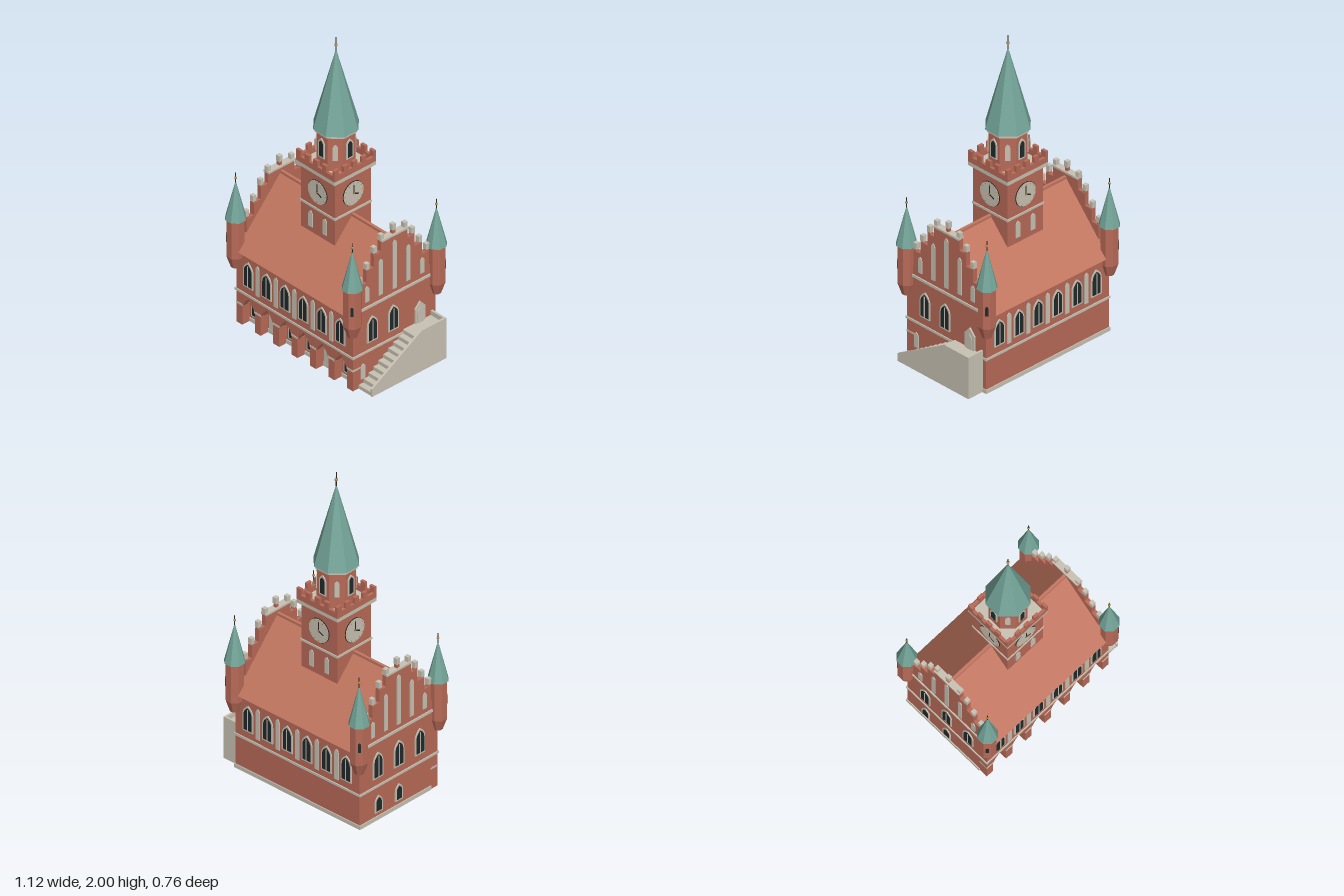
import * as THREE from 'three';

const colour = (name, hex) => {
  const m = new THREE.MeshStandardMaterial({ color: hex });
  m.name = name;
  return m;
};

export function createModel() {
  const brick = colour('brick', 0xb86a57), tile = colour('roof tile', 0xc27660);
  const stone = colour('pale stone', 0xc8c2b3), copper = colour('green copper', 0x74a599);
  const glass = colour('dark glass', 0x20292b), gold = colour('gold', 0xb08a35);
  const iron = colour('dark iron', 0x2a2624);

  const model = new THREE.Group();
  model.name = 'townHall';
  const CX = -0.03, HALF = 0.475, DEEP = 0.315; // building centre and half sizes

  const add = (parent, name, geo, mat, x = 0, y = 0, z = 0) => {
    const m = new THREE.Mesh(geo, mat);
    m.name = name;
    m.position.set(x, y, z);
    parent.add(m);
    return m;
  };
  const group = (parent, name, x = 0, y = 0, z = 0, turn = 0) => {
    const g = new THREE.Group();
    g.name = name;
    g.position.set(x, y, z);
    g.rotation.y = turn;
    parent.add(g);
    return g;
  };
  // box given by its lower and upper limits
  const block = (parent, name, mat, x0, x1, y0, y1, z0, z1) =>
    add(parent, name, new THREE.BoxGeometry(x1 - x0, y1 - y0, z1 - z0), mat,
      (x0 + x1) / 2, (y0 + y1) / 2, (z0 + z1) / 2);
  // flat-faced octagonal frustum, sized across its flats, standing on y
  const octagon = (parent, name, mat, bottom, top, y0, y1) => {
    const k = 1 / Math.cos(Math.PI / 8);
    const geo = new THREE.CylinderGeometry(top * k, bottom * k, y1 - y0, 8, 1, false, Math.PI / 8).toNonIndexed();
    geo.computeVertexNormals();
    return add(parent, name, geo, mat, 0, (y0 + y1) / 2, 0);
  };
  const extrude = (shape, depth) =>
    new THREE.ExtrudeGeometry(shape, { depth, bevelEnabled: false, curveSegments: 5 });
  // pointed arch outline, standing on y
  const arch = (w, h, x = 0, y = 0, Kind = THREE.Shape) => {
    const s = new Kind(), spring = y + h - w * 0.8, a = w / 2;
    s.moveTo(x - a, y);
    s.lineTo(x + a, y);
    s.lineTo(x + a, spring);
    s.quadraticCurveTo(x + a, spring + w * 0.45, x, y + h);
    s.quadraticCurveTo(x - a, spring + w * 0.45, x - a, spring);
    s.closePath();
    return s;
  };
  const polygon = pts => new THREE.Shape(pts.map(p => new THREE.Vector2(...p)));

  const panel = (parent, name, w, h, x, y) => add(parent, name, extrude(arch(w, h), 0.005), stone, x, y, 0);
  const archWindow = (parent, w, h, x, y, twin) => {
    const g = group(parent, 'window', x, y, 0);
    add(g, 'windowFrame', extrude(arch(w, h), 0.006), stone);
    const gw = w - 0.02, gh = h - 0.024;
    add(g, 'windowGlass', extrude(arch(gw, gh), 0.004), glass, 0, 0.01, 0.004);
    if (twin) block(g, 'mullion', stone, -0.003, 0.003, 0.01, gh, 0.004, 0.01);
  };
  const finial = (parent, y, h, r) => {
    add(parent, 'finialRod', new THREE.CylinderGeometry(r * 0.3, r * 0.4, h, 6), iron, 0, y + h / 2, 0);
    add(parent, 'finialBall', new THREE.SphereGeometry(r, 10, 8), gold, 0, y + h * 0.5, 0);
  };

  // main walls, with the ground floor set back behind the arcade
  const L = CX - HALF, R = CX + HALF;
  block(model, 'groundFloor', brick, L, R, 0.002, 0.2, -DEEP, 0.255);
  block(model, 'upperFloor', brick, L, R, 0.2, 0.5, -DEEP, DEEP);
  block(model, 'plinth', stone, L - 0.006, R + 0.006, 0, 0.025, -DEEP - 0.006, 0.261);
  block(model, 'stringCourse', stone, L - 0.006, R + 0.006, 0.214, 0.228, -DEEP - 0.006, DEEP + 0.006);

  // arcade: seven piers joined by pointed arches
  const bays = [-0.375, -0.225, -0.075, 0.075, 0.225, 0.375];
  const arcade = group(model, 'arcade', CX, 0, 0.255);
  const outline = [[-HALF, 0], [-HALF, 0.205], [HALF, 0.205], [HALF, 0]];
  for (const x of [...bays].reverse()) {
    outline.push([x + 0.051, 0], [x + 0.051, 0.125], [x + 0.03, 0.165], [x, 0.196],
      [x - 0.03, 0.165], [x - 0.051, 0.125], [x - 0.051, 0]);
  }
  add(arcade, 'arcadeWall', extrude(polygon(outline), 0.06), brick);
  for (let i = 0; i < 7; i++) {
    const x = -0.45 + i * 0.15;
    block(arcade, 'pierCap', stone, x - 0.026, x + 0.026, 0.128, 0.14, 0.004, 0.063);
  }
  bays.forEach((x, i) => {
    if (i === 1 || i === 4) panel(arcade, 'door', 0.085, 0.18, x, 0.002);
    else archWindow(arcade, 0.072, 0.12, x, 0.042);
  });

  // upper windows and blind niches, front and back
  for (const side of [1, -1]) {
    const facade = group(model, side > 0 ? 'frontFacade' : 'backFacade', CX, 0, side * DEEP, side > 0 ? 0 : Math.PI);
    for (const x of bays) archWindow(facade, 0.08, 0.17, x, 0.275, true);
    for (let i = -2; i <= 2; i++) panel(facade, 'blindNiche', 0.03, 0.2, i * 0.15, 0.255);
  }

  // pitched roof and ridge
  const roof = group(model, 'roof', L + 0.02, 0, 0, Math.PI / 2);
  add(roof, 'roofSlopes', extrude(polygon([[-0.345, 0.5], [0.345, 0.5], [0, 0.88]]), 0.91), tile);
  block(model, 'ridge', tile, L + 0.025, R - 0.025, 0.866, 0.886, -0.009, 0.009);

  // stepped gables with pinnacles, and the end facades
  const steps = [[0.1, 0.91], [0.155, 0.84], [0.21, 0.76], [0.265, 0.68], [DEEP, 0.58]];
  const half = [];
  steps.forEach(([w, y], i) => {
    if (i) half.push([steps[i - 1][0], y]);
    half.push([w, y]);
  });
  half.push([DEEP, 0.5]);
  const gableOutline = [...half.map(([x, y]) => [-x, y]).reverse(), ...half].reverse();
  for (const side of [1, -1]) {
    const end = group(model, side > 0 ? 'leftEnd' : 'rightEnd', side > 0 ? R : L, 0, 0, side * Math.PI / 2);
    add(end, 'steppedGable', extrude(polygon(gableOutline), 0.03), brick, 0, 0, -0.03);
    block(end, 'gableBand', stone, -DEEP, DEEP, 0.507, 0.523, -0.03, 0.007);
    block(end, 'gableCoping', stone, -0.1, 0.1, 0.905, 0.917, -0.035, 0.007);
    const pinnacle = (x, y0, y1) => {
      block(end, 'pinnacle', brick, x - 0.01, x + 0.01, y0 - 0.03, y1 - 0.04, -0.025, -0.003);
      block(end, 'pinnacleCap', stone, x - 0.0125, x + 0.0125, y1 - 0.04, y1, -0.027, -0.001);
    };
    pinnacle(0, 0.91, 0.98);
    for (const s of [1, -1]) {
      pinnacle(s * 0.09, 0.9, 0.95);
      pinnacle(s * 0.145, 0.83, 0.89);
      pinnacle(s * 0.2, 0.75, 0.805);
      pinnacle(s * 0.255, 0.67, 0.73);
      panel(end, 'gableNiche', 0.03, 0.24, s * 0.105, 0.555);
      panel(end, 'gableNiche', 0.03, 0.105, s * 0.21, 0.555);
    }
    panel(end, 'gableNiche', 0.03, 0.325, 0, 0.55);
    for (const x of side > 0 ? [-0.17, -0.01] : [-0.17, 0, 0.17]) archWindow(end, 0.08, 0.17, x, 0.275, true);
    if (side > 0) {
      // raised side door with its gabled surround
      add(end, 'doorSurround', extrude(polygon([[0.152, 0.24], [0.228, 0.24], [0.228, 0.335], [0.19, 0.378], [0.152, 0.335]]), 0.01), stone);
      add(end, 'sideDoor', extrude(arch(0.045, 0.1), 0.004), stone, 0.19, 0.24, 0.01);
      panel(end, 'lowNiche', 0.035, 0.1, -0.24, 0.055);
    } else {
      for (const x of [-0.165, 0]) archWindow(end, 0.062, 0.11, x, 0.05);
    }
  }

  // outside stair with landing and parapet
  const stair = group(model, 'sideStair');
  const parapet = group(stair, 'stairParapet', 0.545, 0, 0, Math.PI / 2);
  add(parapet, 'parapetWall', extrude(polygon([[-0.275, 0], [0.29, 0], [0.29, 0.27], [0.1, 0.27], [-0.275, 0.05]]), 0.014), stone);
  block(stair, 'parapetEnd', stone, R, 0.545, 0, 0.27, -0.29, -0.276);
  block(stair, 'landing', stone, R, 0.545, 0, 0.24, -0.276, -0.065);
  for (let i = 0; i < 9; i++) {
    const z = -0.065 + i * 0.0375;
    block(stair, 'step', stone, R, 0.545, 0, 0.216 - i * 0.024, z, z + 0.0375);
  }

  // corner turrets
  for (const sx of [1, -1]) for (const sz of [1, -1]) {
    const t = group(model, 'cornerTurret', CX + sx * HALF, 0, sz * 0.32);
    octagon(t, 'turretFoot', brick, 0.026, 0.05, 0.375, 0.45);
    octagon(t, 'turretShaft', brick, 0.05, 0.05, 0.45, 0.7);
    octagon(t, 'turretSpire', copper, 0.058, 0.002, 0.697, 0.94);
    finial(t, 0.935, 0.065, 0.008);
    const face = group(t, 'turretFace', sx * 0.0354, 0.54, sz * 0.0354, Math.atan2(sx, sz));
    add(face, 'turretSlit', extrude(arch(0.018, 0.06), 0.003), glass);
  }

  // clock tower
  const tower = group(model, 'tower', CX);
  block(tower, 'towerShaft', brick, -0.137, 0.137, 0.5, 1.15, -0.137, 0.137);
  block(tower, 'towerBand', stone, -0.142, 0.142, 0.898, 0.912, -0.142, 0.142);
  block(tower, 'towerDeck', stone, -0.157, 0.157, 1.148, 1.172, -0.157, 0.157);
  for (let q = 0; q < 4; q++) {
    const side = group(tower, 'towerSide', 0, 0, 0, q * Math.PI / 2);
    block(side, 'parapet', brick, -0.157, 0.139, 1.172, 1.208, 0.139, 0.157);
    const cell = 0.314 / 9;
    for (let i = 0; i < 4; i++) {
      const x = -0.157 + i * 2 * cell;
      block(side, 'merlon', brick, x, x + cell, 1.208, 1.246, 0.139, 0.157);
    }
    const face = group(side, 'towerFace', 0, 0, 0.137);
    if (q % 2 === 0) for (const x of [-0.058, 0.058]) panel(face, 'towerNiche', 0.033, 0.108, x, 0.764);
    // clock dial, hour marks and hands
    const clock = group(face, 'clock', 0, 1.022, 0);
    add(clock, 'clockRim', new THREE.CylinderGeometry(0.077, 0.077, 0.005, 32).rotateX(Math.PI / 2), iron, 0, 0, 0.0025);
    add(clock, 'clockDial', new THREE.CylinderGeometry(0.075, 0.075, 0.004, 32).rotateX(Math.PI / 2), stone, 0, 0, 0.005);
    const bar = (name, mat, w, from, to, angle) =>
      add(clock, name, new THREE.BoxGeometry(w, to - from, 0.002).translate(0, (from + to) / 2, 0), mat, 0, 0, 0.008)
        .rotation.z = -angle;
    for (let h = 0; h < 12; h++) bar('hourMark', gold, 0.003, 0.061, 0.069, h * Math.PI / 6);
    bar('minuteHand', iron, 0.006, -0.008, 0.056, 0);
    bar('hourHand', iron, 0.008, -0.006, 0.04, Math.PI * 0.64);
    add(clock, 'clockHub', new THREE.CylinderGeometry(0.006, 0.006, 0.004, 10).rotateX(Math.PI / 2), gold, 0, 0, 0.009);
  }

  // octagonal lantern and spire
  octagon(tower, 'lantern', brick, 0.108, 0.108, 1.17, 1.4);
  octagon(tower, 'lanternCornice', stone, 0.117, 0.117, 1.396, 1.413);
  octagon(tower, 'spire', copper, 0.126, 0.003, 1.413, 1.91);
  finial(tower, 1.9, 0.1, 0.01);
  for (let i = 0; i < 8; i++) {
    const turn = i * Math.PI / 4;
    const face = group(tower, 'lanternFace', Math.sin(turn) * 0.108, 0, Math.cos(turn) * 0.108, turn);
    if (i % 2) panel(face, 'lanternNiche', 0.03, 0.105, 0, 1.245);
    else archWindow(face, 0.052, 0.13, 0, 1.242);
  }
  return model;
}
